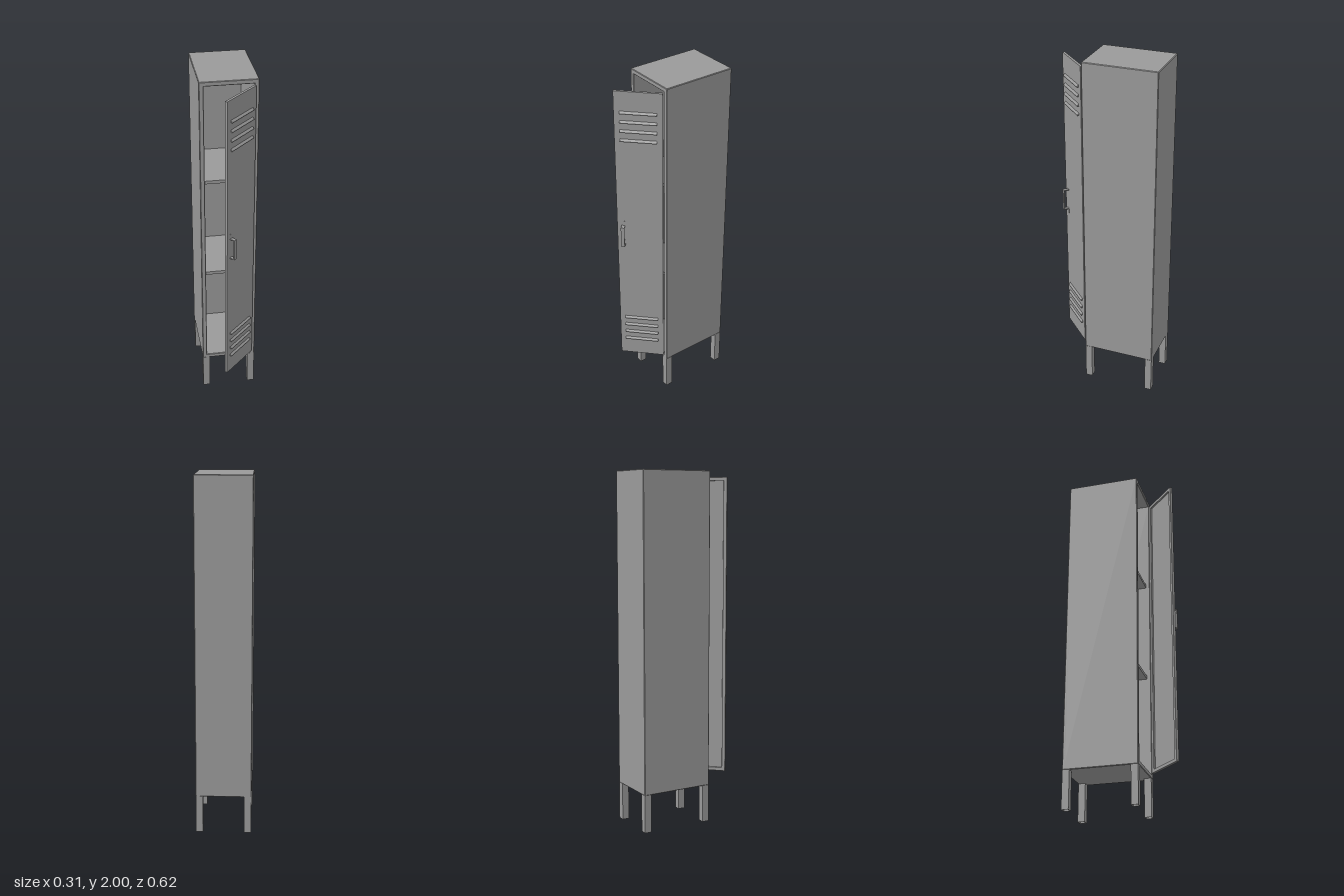
import * as THREE from 'three';

const material = new THREE.MeshStandardMaterial({ color: 0x999999, flatShading: true });

function add(parent, name, geometry, x, y, z) {
  const mesh = new THREE.Mesh(geometry, material);
  mesh.name = name;
  mesh.position.set(x, y, z);
  parent.add(mesh);
  return mesh;
}

const box = (w, h, d) => new THREE.BoxGeometry(w, h, d);

function polygon(points, Type = THREE.Shape) {
  return new Type(points.map(([x, y]) => new THREE.Vector2(x, y)));
}

function rectangle(w, h, Type) {
  const x = w / 2, y = h / 2;
  return polygon([[-x, -y], [x, -y], [x, y], [-x, y]], Type);
}

// Slab centred in x and y, from z = 0 to depth, with small chamfers;
// a rim width cuts a rectangular opening through it.
function chamferedSlab(w, h, depth, chamfer, rim = 0) {
  const x = w / 2 - chamfer, y = h / 2 - chamfer, c = chamfer / 2;
  const shape = polygon([
    [-x + c, -y], [x - c, -y], [x, -y + c], [x, y - c],
    [x - c, y], [-x + c, y], [-x, y - c], [-x, -y + c],
  ]);
  if (rim) {
    const inset = 2 * (rim - chamfer);
    shape.holes.push(rectangle(w - inset, h - inset, THREE.Path));
  }
  return new THREE.ExtrudeGeometry(shape, {
    depth: depth - 2 * chamfer, bevelEnabled: true, bevelSegments: 1,
    bevelSize: chamfer, bevelThickness: chamfer,
  }).translate(0, 0, chamfer);
}

// Upright square tube, open at both ends
function squareTube(size, height, wall) {
  const shape = rectangle(size, size, THREE.Shape);
  shape.holes.push(rectangle(size - 2 * wall, size - 2 * wall, THREE.Path));
  return new THREE.ExtrudeGeometry(shape, { depth: height, bevelEnabled: false })
    .rotateX(-Math.PI / 2);
}

// Profile drawn as (outward z, y), extruded from x = 0 towards -x
function sideProfile(points, length) {
  return new THREE.ExtrudeGeometry(polygon(points), { depth: length, bevelEnabled: false })
    .rotateY(-Math.PI / 2);
}

export function createModel() {
  const model = new THREE.Group();
  model.name = 'locker';

  const W = 0.314, bottom = 0.215, top = 2, H = top - bottom;
  const back = -0.308, front = 0.112, midY = (bottom + top) / 2;

  // Cabinet: open-fronted shell closed by a back panel
  add(model, 'cabinetShell', chamferedSlab(W, H, front - back - 0.003, 0.003, 0.025), 0, midY, back + 0.003);
  add(model, 'backPanel', chamferedSlab(W, H, 0.02, 0.003), 0, midY, back);

  // Shelves
  for (const y of [0.817, 1.41]) {
    add(model, 'shelf', box(W - 0.046, 0.019, 0.38), 0, y, -0.1);
  }

  // Legs
  const leg = squareTube(0.04, bottom + 0.001, 0.003);
  for (const x of [-0.136, 0.136]) {
    for (const z of [back + 0.021, front - 0.021]) {
      add(model, z > 0 ? 'frontLeg' : 'backLeg', leg, x, 0, z);
    }
  }

  // Door, standing open by 45 degrees; local +z is its outer face
  const door = new THREE.Group();
  door.name = 'door';
  door.position.set(0.139, 0, 0.1235);
  door.rotation.y = Math.PI / 4;
  model.add(door);

  const doorW = 0.254, doorH = 1.726, doorY = 1.107;
  add(door, 'doorPanel', box(doorW, doorH, 0.005), -doorW / 2, doorY, -0.0025);
  add(door, 'doorRim', chamferedSlab(doorW, doorH, 0.012, 0.001, 0.02), -doorW / 2, doorY, -0.015);

  // Louvres: sloping hoods in two groups of four
  const louvre = sideProfile([[-0.001, -0.008], [0.01, -0.008], [0.01, -0.005], [-0.001, 0.007]], 0.194);
  for (const start of [0.36, 1.695]) {
    for (let i = 0; i < 4; i++) {
      add(door, 'louvre', louvre, -0.03, start + i * 0.053, 0);
    }
  }

  // Handle: bent strap with a thin flange at each end
  const handle = sideProfile([
    [0, -0.09], [0.001, -0.09], [0.001, -0.063], [0.03, -0.063],
    [0.03, 0.063], [0.001, 0.063], [0.001, 0.09], [0, 0.09],
    [0, 0.058], [0.025, 0.058], [0.025, -0.058], [0, -0.058],
  ], 0.02);
  add(door, 'handle', handle, -0.21, 1.1, 0);

  return model;
}
